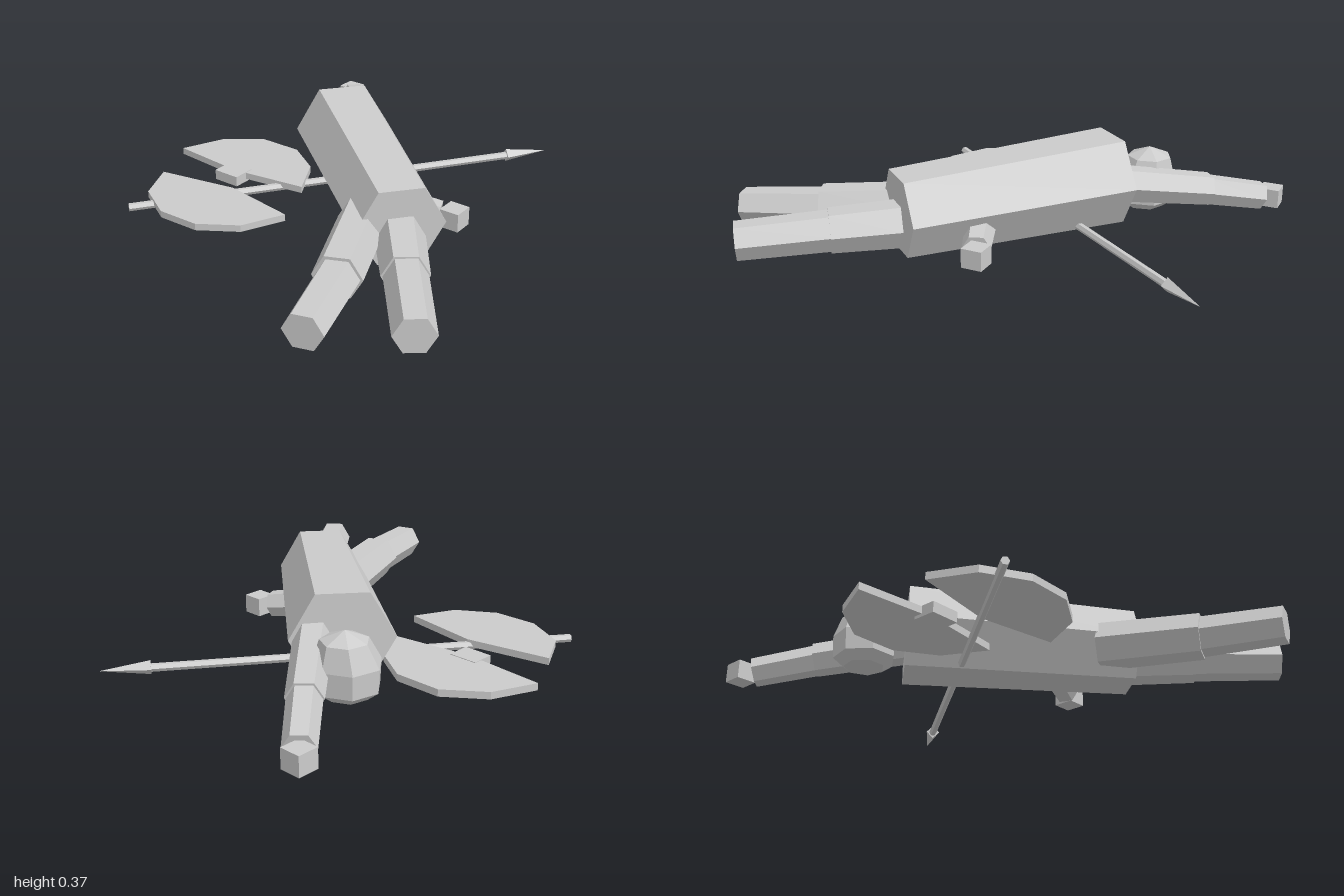
import * as THREE from 'three';

const material = new THREE.MeshStandardMaterial({ color: 0xcccccc, flatShading: true });

export function createModel() {
  const model = new THREE.Group();
  model.name = 'fallenWarrior';

  const add = (name, geometry, position = [0, 0, 0]) => {
    const mesh = new THREE.Mesh(geometry, material);
    mesh.name = name;
    mesh.position.set(...position);
    model.add(mesh);
    return mesh;
  };

  // Tapered prism from a to b, with corners at its sides and a flat top
  const prism = (name, a, b, ra, rb, sides = 6) => {
    const start = new THREE.Vector3(...a);
    const end = new THREE.Vector3(...b);
    const axis = end.clone().sub(start);
    const length = axis.length();
    axis.normalize();
    const side = new THREE.Vector3().crossVectors(axis, new THREE.Vector3(0, 1, 0)).normalize();
    const across = new THREE.Vector3().crossVectors(axis, side);
    const mesh = add(name, new THREE.CylinderGeometry(rb, ra, length, sides));
    mesh.quaternion.setFromRotationMatrix(new THREE.Matrix4().makeBasis(across, axis, side));
    mesh.position.copy(start).add(end).multiplyScalar(0.5);
  };

  // Flat plate from an outline of [x, z] points
  const plate = (name, outline, bottom, thickness) => {
    const shape = new THREE.Shape(outline.map(([x, z]) => new THREE.Vector2(x, -z)));
    const geometry = new THREE.ExtrudeGeometry(shape, { depth: thickness, bevelEnabled: false });
    geometry.rotateX(-Math.PI / 2);
    add(name, geometry, [0, bottom, 0]);
  };

  // Body
  prism('torso', [-0.3, 0.183, -0.353], [0.447, 0.165, 0.265], 0.21, 0.182);

  // Seven-sided head, slightly tilted crown
  const profile = [[0, 0.02], [0.085, 0.025], [0.13, 0.06], [0.135, 0.155], [0.095, 0.25], [0, 0.29]]
    .map(([r, y]) => new THREE.Vector2(r, y));
  const head = new THREE.LatheGeometry(profile, 7, Math.PI);
  const points = head.attributes.position;
  for (let i = 0; i < points.count; i++) {
    if (points.getY(i) > 0.2) points.setZ(i, points.getZ(i) - 0.015);
  }
  add('head', head, [-0.428, 0, -0.46]);

  // Legs
  prism('leftThigh', [0.44, 0.12, 0.26], [0.615, 0.115, 0.48], 0.1, 0.092);
  prism('leftShin', [0.6, 0.115, 0.46], [0.842, 0.105, 0.762], 0.085, 0.079);
  prism('rightThigh', [0.26, 0.135, 0.25], [0.428, 0.12, 0.643], 0.102, 0.097);
  prism('rightShin', [0.42, 0.12, 0.615], [0.53, 0.105, 0.968], 0.085, 0.078);

  // Arms and hands
  prism('rightUpperArm', [-0.19, 0.19, -0.4], [-0.478, 0.12, -0.73], 0.08, 0.072);
  prism('rightForearm', [-0.46, 0.122, -0.71], [-0.65, 0.062, -0.92], 0.067, 0.062);
  prism('leftForearm', [0.22, 0.1, 0.01], [0.415, 0.065, -0.068], 0.066, 0.058);
  add('rightHand', new THREE.BoxGeometry(0.087, 0.08, 0.087), [-0.688, 0.055, -0.957]);
  add('leftHand', new THREE.BoxGeometry(0.088, 0.08, 0.088), [0.468, 0.06, -0.095]);

  // Spear
  prism('spearShaft', [-0.715, 0.022, 0.595], [0.33, 0.022, -0.84], 0.017, 0.017);
  prism('spearHead', [0.31, 0.024, -0.812], [0.425, 0.022, -0.97], 0.03, 0.001, 4);

  // Broken shield
  plate('rearShieldHalf', [[-0.91, 0.07], [-0.83, -0.116], [-0.673, -0.233], [-0.472, -0.233],
    [-0.31, -0.13], [-0.214, 0.053], [-0.557, 0.1]], 0.02, 0.03);
  plate('frontShieldHalf', [[-0.805, 0.3], [-0.45, 0.233], [-0.113, 0.286], [-0.198, 0.466],
    [-0.356, 0.566], [-0.546, 0.571], [-0.72, 0.476]], 0.018, 0.03);
  add('shieldGrip', new THREE.BoxGeometry(0.125, 0.045, 0.1), [-0.563, 0.03, 0.105]);

  return model;
}
